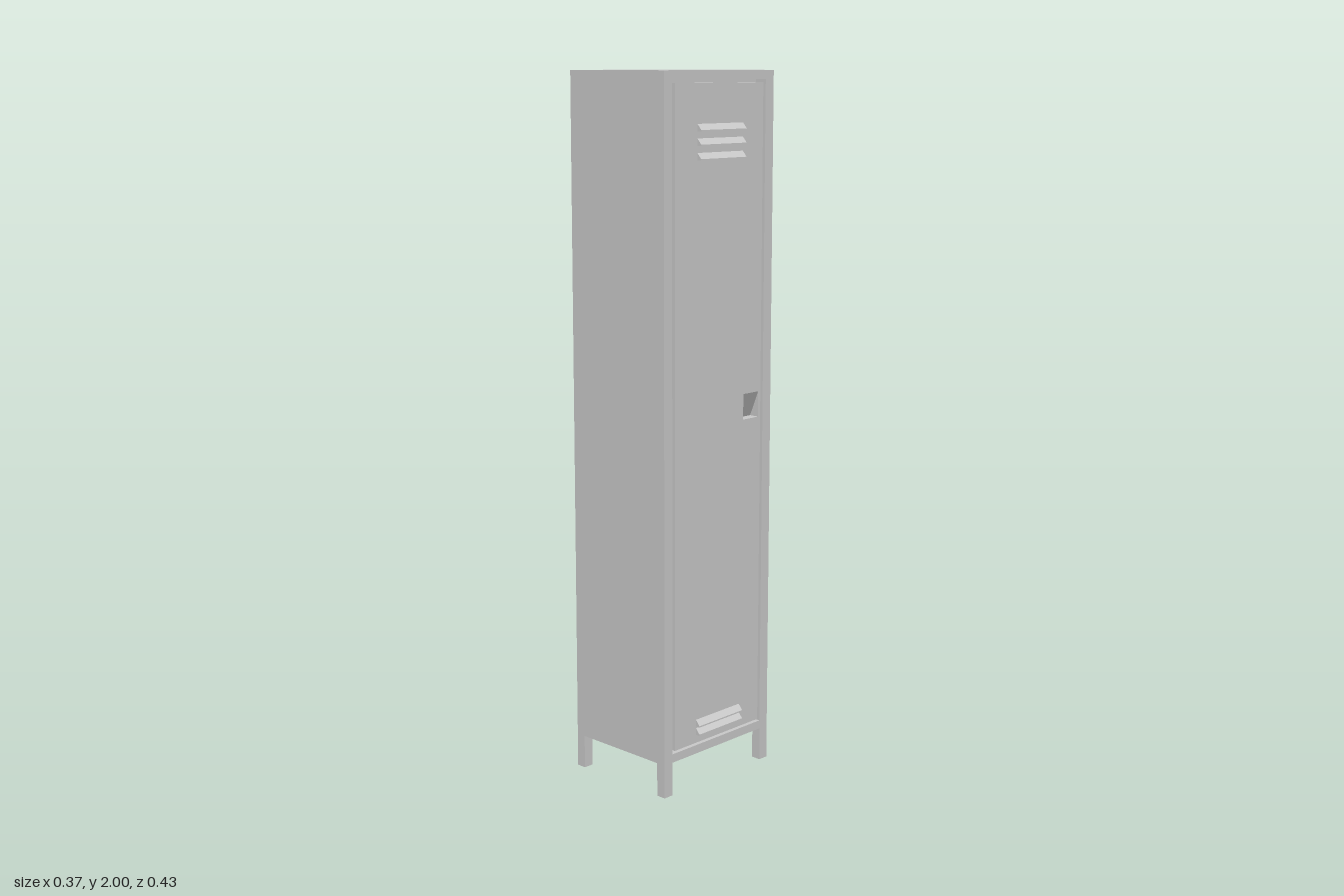
import * as THREE from 'three';

const mat = new THREE.MeshStandardMaterial({ color: 0xcccccc, flatShading: true, side: THREE.DoubleSide });

function add(group, name, geometry, x = 0, y = 0, z = 0) {
  const mesh = new THREE.Mesh(geometry, mat);
  mesh.name = name;
  mesh.position.set(x, y, z);
  group.add(mesh);
  return mesh;
}

// Rectangle corners in the door plane: u runs towards -z, v is height
const rect = (u0, v0, u1, v1) =>
  [[u0, v0], [u1, v0], [u1, v1], [u0, v1]].map(([u, v]) => new THREE.Vector2(u, v));

// Flat panel with a rectangular hole, facing +x
function panel(outer, hole, depth) {
  const shape = new THREE.Shape(rect(...outer));
  shape.holes.push(new THREE.Path(rect(...hole)));
  return new THREE.ExtrudeGeometry(shape, { depth, bevelEnabled: false }).rotateY(Math.PI / 2);
}

export function createModel() {
  const locker = new THREE.Group();
  locker.name = 'locker';

  // Cabinet body behind the front frame
  const back = -0.185, front = 0.17, inner = 0.135, half = 0.216, base = 0.097;
  add(locker, 'body', new THREE.BoxGeometry(inner - back, 2 - base, half * 2),
    (inner + back) / 2, (2 + base) / 2, 0);

  // Front frame and the door, with a narrow groove between them
  add(locker, 'frame', panel([-half, base, half, 2], [-0.185, 0.122, 0.183, 1.975], front - inner), inner);
  const handle = [0.1, 1.037, 0.163, 1.11];
  const doorFace = 0.171;
  const door = new THREE.Group();
  door.name = 'door';
  locker.add(door);
  add(door, 'doorPanel', panel([-0.176, 0.13, 0.172, 1.967], handle, doorFace - inner - 0.001), inner + 0.001);

  // Sloping finger pull, deepest along its lower edge
  const [u0, v0, u1, v1] = handle;
  const deep = doorFace - 0.03;
  const cup = new THREE.BufferGeometry();
  cup.setAttribute('position', new THREE.Float32BufferAttribute([
    doorFace, v1, -u0, doorFace, v1, -u1,
    doorFace, v0, -u0, doorFace, v0, -u1,
    deep, v0, -u0 - 0.024, deep, v0, -u1,
  ], 3));
  cup.setIndex([0, 4, 5, 0, 5, 1, 0, 2, 4, 1, 5, 3, 2, 3, 5, 2, 5, 4]);
  const cupFlat = cup.toNonIndexed();
  cupFlat.computeVertexNormals();
  add(door, 'fingerPull', cupFlat);

  // Louvred vents: three at the top, two at the bottom
  const wedge = new THREE.Shape([
    new THREE.Vector2(-0.002, 0.011), new THREE.Vector2(-0.002, -0.011),
    new THREE.Vector2(0.014, -0.011), new THREE.Vector2(0.014, -0.007),
  ]);
  const louvre = new THREE.ExtrudeGeometry(wedge, { depth: 0.18, bevelEnabled: false }).translate(0, 0, -0.09);
  for (const y of [1.852, 1.814, 1.776, 0.19, 0.165]) add(door, 'louvre', louvre, doorFace, y, 0);

  // Four square legs
  const leg = new THREE.BoxGeometry(0.029, base, 0.031);
  for (const x of [back + 0.0145, front - 0.0145])
    for (const s of [-1, 1]) add(locker, 'leg', leg, x, base / 2, s * (half - 0.0155));

  return locker;
}
